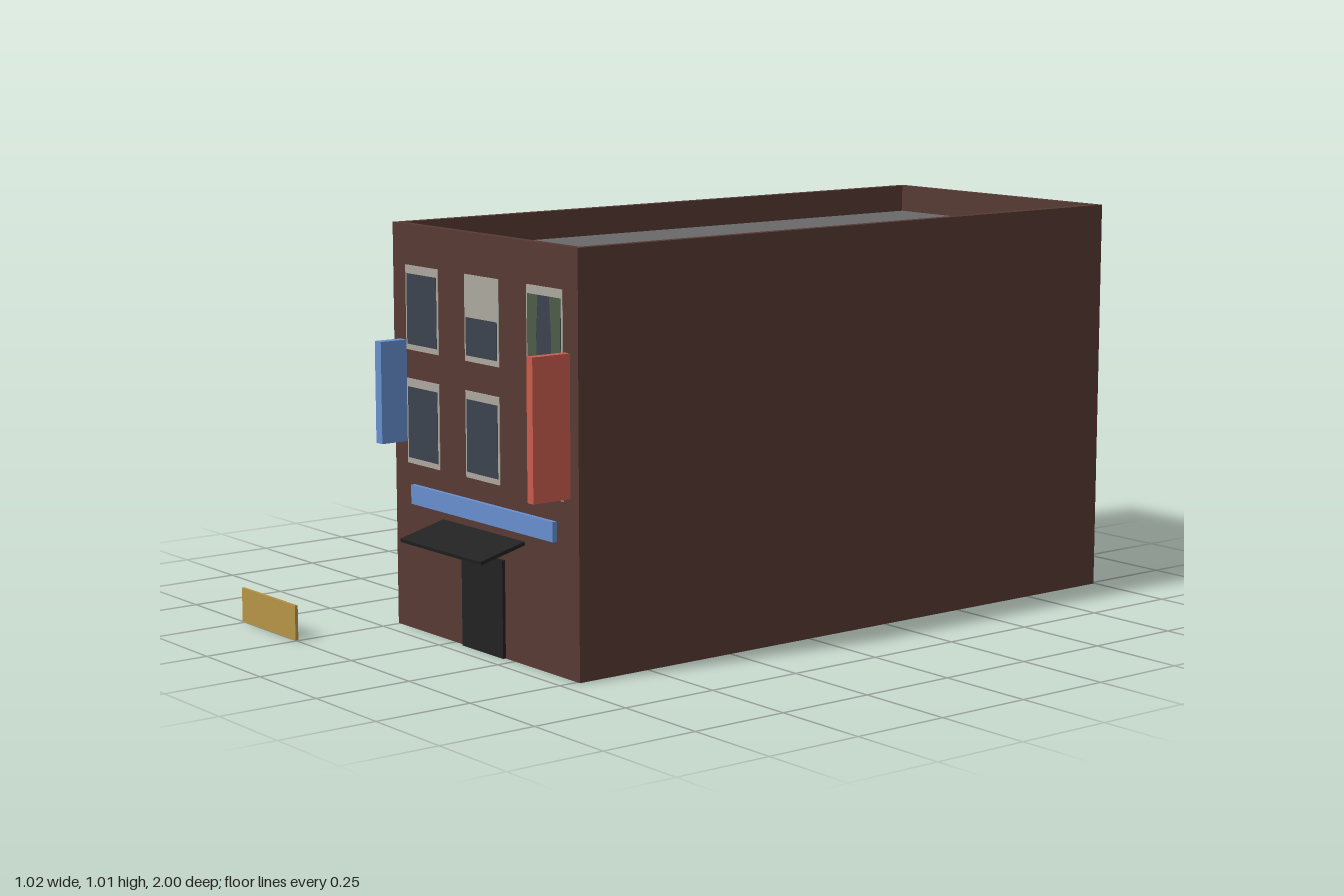
import * as THREE from 'three';

const mat = (name, color, side = THREE.FrontSide) => {
  const m = new THREE.MeshStandardMaterial({ color, side });
  m.name = name;
  return m;
};

export function createModel() {
  const model = new THREE.Group();
  model.name = 'townBuilding';
  const brick = mat('brick', 0x573a33, THREE.DoubleSide);
  const roofGrey = mat('roofGrey', 0x696969, THREE.DoubleSide);
  const frameGrey = mat('frameGrey', 0xaca89f);
  const glass = mat('glass', 0x3b434f);
  const curtainGreen = mat('curtainGreen', 0x4e5c48);
  const blindBeige = mat('blindBeige', 0xac9b7c);
  const signBlue = mat('signBlue', 0x668fce);
  const signRed = mat('signRed', 0xca5b4d);
  const black = mat('black', 0x222222);
  const ochre = mat('ochre', 0xb79545);

  // Box given by its limits on each axis
  const box = (parent, name, material, x0, x1, y0, y1, z0, z1) => {
    const mesh = new THREE.Mesh(new THREE.BoxGeometry(x1 - x0, y1 - y0, z1 - z0), material);
    mesh.position.set((x0 + x1) / 2, (y0 + y1) / 2, (z0 + z1) / 2);
    mesh.name = name;
    parent.add(mesh);
    return mesh;
  };

  const L = -0.256, R = 0.51, F = 0.7, B = -0.996, TOP = 1.01, ROOF = 0.94, RIM = 0.021;
  const midX = (L + R) / 2, midZ = (F + B) / 2, width = R - L, depth = F - B;

  // Four sheet walls, open underneath
  const walls = [
    ['frontWall', width, midX, F, 0], ['backWall', width, midX, B, Math.PI],
    ['leftWall', depth, R, midZ, Math.PI / 2], ['rightWall', depth, L, midZ, -Math.PI / 2],
  ];
  for (const [name, w, x, z, turn] of walls) {
    const wall = new THREE.Mesh(new THREE.PlaneGeometry(w, ROOF), brick);
    wall.position.set(x, ROOF / 2, z);
    wall.rotation.y = turn;
    wall.name = name;
    model.add(wall);
  }

  // Parapet ring around the sunken flat roof
  const rect = (C, w, d) => new C([
    new THREE.Vector2(-w / 2, -d / 2), new THREE.Vector2(w / 2, -d / 2),
    new THREE.Vector2(w / 2, d / 2), new THREE.Vector2(-w / 2, d / 2),
  ]);
  const ring = rect(THREE.Shape, width, depth);
  ring.holes.push(rect(THREE.Path, width - 2 * RIM, depth - 2 * RIM));
  const parapet = new THREE.Mesh(
    new THREE.ExtrudeGeometry(ring, { depth: TOP - ROOF, bevelEnabled: false }), brick);
  parapet.rotation.x = -Math.PI / 2;
  parapet.position.set(midX, ROOF, midZ);
  parapet.name = 'parapet';
  model.add(parapet);

  const roof = new THREE.Mesh(new THREE.PlaneGeometry(width - 2 * RIM, depth - 2 * RIM), roofGrey);
  roof.rotation.x = -Math.PI / 2;
  roof.position.set(midX, ROOF, midZ);
  roof.name = 'roof';
  model.add(roof);

  // Thin plates centred on the wall, so they show inside and out
  const plate = (parent, name, material, x0, x1, y0, y1, layer) => {
    const t = 0.0015 + 0.001 * layer;
    return box(parent, name, material, x0, x1, y0, y1, -t, t);
  };

  // Six windows, measured from the centre of the wall
  const windowSet = (name, z, turn) => {
    const set = new THREE.Group();
    set.name = name;
    for (let row = 0; row < 2; row++) {
      const y0 = row ? 0.701 : 0.418, y1 = row ? 0.91 : 0.63;
      for (let col = 0; col < 3; col++) {
        const x0 = -0.327 + col * 0.255, x1 = x0 + 0.142;
        const win = new THREE.Group();
        win.name = 'window';
        set.add(win);
        plate(win, 'windowFrame', frameGrey, x0, x1, y0, y1, 0);
        if (!row && col === 2) {
          plate(win, 'blind', blindBeige, x0 + 0.001, x1 - 0.001, y0 + 0.003, y1 - 0.015, 1);
          continue;
        }
        // The upper middle window has its shade half drawn
        const glassTop = row && col === 1 ? 0.807 : y1 - 0.021;
        plate(win, 'windowPane', glass, x0 + 0.006, x1 - 0.007, y0 + 0.014, glassTop, 1);
        if (row && col === 2) {
          // Curtains drawn aside, wider at the top
          for (const s of [-1, 1]) {
            const c = (x0 + x1) / 2, out = s * 0.065, yb = y0 + 0.014;
            const cloth = new THREE.Shape([
              new THREE.Vector2(c + out, yb), new THREE.Vector2(c + s * 0.029, yb),
              new THREE.Vector2(c + s * 0.029, 0.8), new THREE.Vector2(c + s * 0.022, glassTop),
              new THREE.Vector2(c + out, glassTop),
            ]);
            const curtain = new THREE.Mesh(
              new THREE.ExtrudeGeometry(cloth, { depth: 0.007, bevelEnabled: false }), curtainGreen);
            curtain.position.z = -0.0035;
            curtain.name = 'curtain';
            win.add(curtain);
          }
        }
      }
    }
    set.position.set(midX, 0, z);
    set.rotation.y = turn;
    model.add(set);
  };
  windowSet('frontWindows', F, 0);
  windowSet('backWindows', B, Math.PI);

  // Door, signs and the separate low board
  box(model, 'door', black, 0.04, 0.212, 0, 0.24, F - 0.003, F + 0.008);
  box(model, 'wideSign', signBlue, -0.172, 0.423, 0.319, 0.367, F, F + 0.012);
  box(model, 'blueHangingSign', signBlue, -0.228, -0.201, 0.471, 0.724, F, 0.775);
  box(model, 'redHangingSign', signRed, 0.455, 0.478, 0.428, 0.766, F, 0.805);
  box(model, 'lowBoard', ochre, -0.512, L, 0, 0.087, 0.992, 1);

  // Sloping canopy over the door
  const canopy = box(model, 'canopy', black, -0.045, 0.296, 0.274, 0.283, F - 0.001, 0.829);
  canopy.rotation.x = 0.25;

  return model;
}
